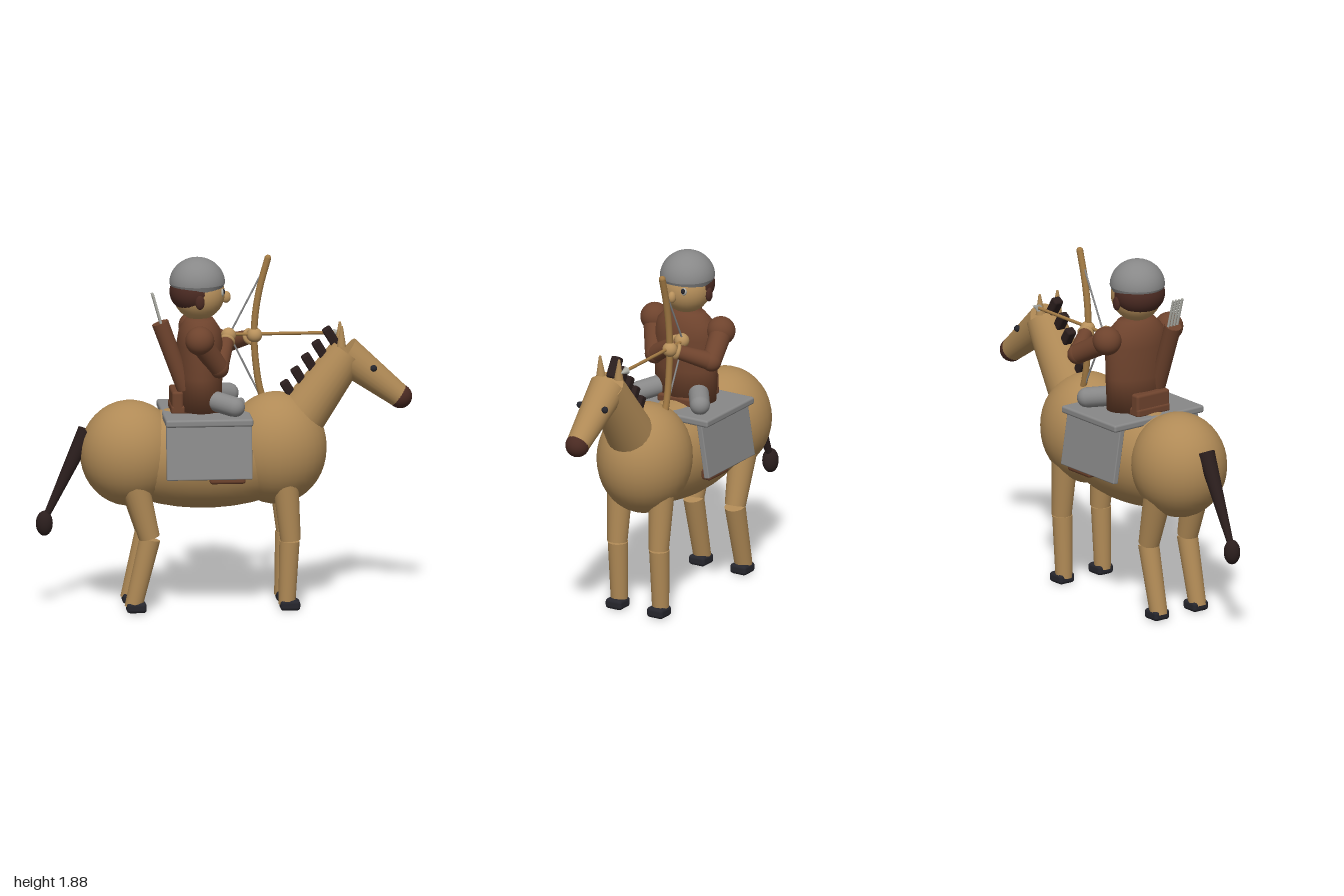
import * as THREE from 'three';
import { RoundedBoxGeometry } from 'three/addons/geometries/RoundedBoxGeometry.js';

const mat = (name, color) => {
  const m = new THREE.MeshStandardMaterial({ color });
  m.name = name;
  return m;
};

export function createModel() {
  const coat = mat('tan coat', 0xb08a56);
  const skin = mat('skin', 0xb8915c);
  const leather = mat('brown leather', 0x6e432d);
  const hairMat = mat('dark brown', 0x4a2a22);
  const mane = mat('mane', 0x2b1e1d);
  const hoofMat = mat('hoof', 0x26262d);
  const steel = mat('grey cloth', 0x888888);
  const pale = mat('pale grey', 0xb0b0a8);
  const wood = mat('wood', 0xa27a44);

  const model = new THREE.Group();
  model.name = 'mountedArcher';
  const V = (p) => new THREE.Vector3(...p);
  const UP = new THREE.Vector3(0, 1, 0);

  const add = (name, geo, m, pos = [0, 0, 0], parent = model) => {
    const mesh = new THREE.Mesh(geo, m);
    mesh.name = name;
    mesh.position.set(...pos);
    parent.add(mesh);
    return mesh;
  };
  const ball = (name, m, pos, r, parent) => {
    const mesh = add(name, new THREE.SphereGeometry(1, 32, 20), m, pos, parent);
    mesh.scale.set(...(Array.isArray(r) ? r : [r, r, r]));
    return mesh;
  };
  // Tapered rod from a (radius ra) to b (radius rb)
  const rod = (name, m, a, b, ra, rb = ra, parent = model, sides = 24) => {
    const d = V(b).sub(V(a));
    const mesh = add(name, new THREE.CylinderGeometry(rb, ra, d.length(), sides), m,
      V(a).lerp(V(b), 0.5).toArray(), parent);
    mesh.quaternion.setFromUnitVectors(UP, d.normalize());
    return mesh;
  };
  const capsule = (name, m, a, b, r, parent) => {
    const d = V(b).sub(V(a));
    const mesh = add(name, new THREE.CapsuleGeometry(r, d.length(), 8, 20), m,
      V(a).lerp(V(b), 0.5).toArray(), parent);
    mesh.quaternion.setFromUnitVectors(UP, d.normalize());
    return mesh;
  };
  const box = (name, m, size, pos, round = 0.01, parent) =>
    add(name, new RoundedBoxGeometry(...size, 2, round), m, pos, parent);
  const group = (name) => {
    const g = new THREE.Group();
    g.name = name;
    model.add(g);
    return g;
  };

  // Horse body
  const horse = group('horse');
  ball('rump', coat, [-0.5, 0.835, 0], [0.265, 0.282, 0.25], horse);
  ball('barrel', coat, [-0.1, 0.81, 0], [0.58, 0.275, 0.24], horse);
  ball('chest', coat, [0.275, 0.85, 0], [0.27, 0.3, 0.25], horse);

  // Neck, head and muzzle
  rod('neck', coat, [0.42, 1.03, 0], [0.66, 1.36, 0], 0.13, 0.1, horse);
  rod('horseHead', coat, [0.635, 1.35, 0], [0.94, 1.11, 0], 0.1, 0.062, horse);
  ball('muzzle', hairMat, [0.935, 1.115, 0], [0.064, 0.064, 0.064], horse);
  for (const s of [1, -1]) {
    ball('horseEye', hoofMat, [0.788, 1.283, s * 0.078], 0.018, horse);
    rod('horseEar', coat, [0.618, 1.4, s * 0.056], [0.62, 1.51, s * 0.06], 0.025, 0.006, horse);
  }
  for (let i = 0; i < 5; i++) {
    const tuft = box('maneTuft', mane, [0.05, 0.12, 0.056],
      [0.57 - i * 0.056, 1.44 - i * 0.071, 0], 0.012, horse);
    tuft.rotation.z = 0.55;
  }

  // Tail
  rod('tail', mane, [-0.73, 0.96, 0], [-0.945, 0.5, 0], 0.048, 0.017, horse);
  ball('tailTuft', mane, [-0.955, 0.462, 0], [0.045, 0.067, 0.043], horse);

  // Legs and hooves
  for (const s of [1, -1]) {
    const z = s * 0.13;
    rod('frontUpperLeg', coat, [0.31, 0.74, z], [0.342, 0.375, z], 0.072, 0.054, horse);
    rod('frontLowerLeg', coat, [0.336, 0.37, z], [0.322, 0.03, z], 0.054, 0.045, horse);
    box('frontHoof', hoofMat, [0.105, 0.055, 0.1], [0.338, 0.0275, z], 0.018, horse);
    rod('hindUpperLeg', coat, [-0.5, 0.74, z], [-0.408, 0.4, z], 0.08, 0.056, horse);
    rod('hindLowerLeg', coat, [-0.405, 0.395, z], [-0.494, 0.025, z], 0.056, 0.047, horse);
    box('hindHoof', hoofMat, [0.105, 0.055, 0.1], [-0.478, 0.0275, z], 0.018, horse);
  }

  // Saddle blanket with hanging side panels, and the saddle
  const tack = group('tack');
  box('blanketTop', steel, [0.465, 0.04, 0.6], [-0.102, 1.043, 0], 0.012, tack);
  for (const s of [1, -1]) {
    const panel = box('blanketPanel', steel, [0.455, 0.3, 0.032], [-0.102, 0.886, s * 0.268], 0.006, tack);
    panel.rotation.x = -s * 0.16;
    box('shoe', leather, [0.19, 0.06, 0.06], [-0.005, 0.742, s * 0.262], 0.015, tack);
  }
  box('saddleSeat', leather, [0.28, 0.05, 0.22], [-0.15, 1.08, 0], 0.015, tack);
  box('cantle', leather, [0.06, 0.12, 0.22], [-0.255, 1.12, 0], 0.015, tack);

  // Rider torso and legs
  const rider = group('rider');
  const profile = [[0, 1.07], [0.175, 1.07], [0.182, 1.25], [0.185, 1.42], [0.165, 1.5], [0.11, 1.555], [0, 1.57]]
    .map((p) => new THREE.Vector2(...p));
  const torso = add('torso', new THREE.LatheGeometry(profile, 32), leather, [-0.13, 0, 0], rider);
  torso.scale.x = 0.66;
  for (const s of [1, -1]) {
    capsule('leg', steel, [-0.08, 1.135, s * 0.11], [0.04, 1.11, s * 0.195], 0.054, rider);
    ball('shoulder', leather, [-0.147, 1.473, s * 0.208], 0.077, rider);
  }

  // Drawing arm and bow arm
  const arms = [
    [[-0.147, 1.47, 0.21], [-0.04, 1.31, 0.14], [0.03, 1.445, -0.075]],
    [[-0.147, 1.47, -0.21], [0.035, 1.365, -0.265], [0.17, 1.44, -0.09]],
  ];
  for (const [shoulder, elbow, hand] of arms) {
    const wrist = V(elbow).lerp(V(hand), 0.82).toArray();
    rod('upperArm', leather, shoulder, elbow, 0.06, 0.052, rider);
    ball('elbow', leather, elbow, 0.053, rider);
    rod('forearm', leather, elbow, wrist, 0.05, 0.038, rider);
    const cuff = add('cuff', new THREE.TorusGeometry(0.034, 0.011, 10, 24), skin, wrist, rider);
    cuff.quaternion.setFromUnitVectors(new THREE.Vector3(0, 0, 1), V(hand).sub(V(elbow)).normalize());
    ball('hand', skin, hand, 0.04, rider);
  }

  // Rider head: face, hair, cap, features
  const head = group('riderHead');
  ball('face', skin, [-0.135, 1.69, 0], [0.138, 0.142, 0.135], head);
  ball('hair', hairMat, [-0.158, 1.7, 0], [0.132, 0.115, 0.141], head);
  const cap = add('cap', new THREE.SphereGeometry(1, 36, 16, 0, Math.PI * 2, 0, Math.PI / 2), steel,
    [-0.143, 1.745, 0], head);
  cap.scale.set(0.148, 0.138, 0.146);
  const brim = add('capRim', new THREE.CylinderGeometry(0.147, 0.135, 0.028, 36), steel, [-0.143, 1.732, 0], head);
  brim.scale.z = 0.99;
  ball('nose', skin, [0.01, 1.667, 0], [0.025, 0.032, 0.022], head);
  for (const s of [1, -1]) {
    ball('riderEye', pale, [-0.018, 1.702, s * 0.056], [0.014, 0.022, 0.019], head);
    ball('pupil', hoofMat, [-0.009, 1.706, s * 0.058], [0.01, 0.015, 0.012], head);
    ball('riderEar', hairMat, [-0.14, 1.665, s * 0.138], [0.025, 0.038, 0.016], head);
  }

  // Bow, string and nocked arrow
  const bow = group('bow');
  const z = -0.087;
  const curve = new THREE.CatmullRomCurve3([
    [0.24, 1.855], [0.2, 1.71], [0.175, 1.57], [0.167, 1.44], [0.175, 1.3], [0.198, 1.15], [0.24, 1.03],
  ].map(([x, y]) => new THREE.Vector3(x, y, z)));
  add('bowLimb', new THREE.TubeGeometry(curve, 32, 0.018, 12), wood, [0, 0, 0], bow);
  for (const p of [curve.getPoint(0), curve.getPoint(1)])
    ball('bowTip', wood, p.toArray(), 0.018, bow);
  for (const end of [[0.23, 1.82, z], [0.225, 1.06, z]])
    rod('bowString', steel, [0.035, 1.445, z], end, 0.005, 0.005, bow, 8);
  rod('arrowShaft', wood, [0.02, 1.447, z], [0.6, 1.447, z], 0.009, 0.009, bow, 10);
  rod('arrowHead', pale, [0.59, 1.447, z], [0.645, 1.447, z], 0.02, 0.001, bow, 12);

  // Quiver with spare arrows on the back
  const quiver = group('quiver');
  rod('quiverTube', leather, [-0.215, 1.19, 0.08], [-0.347, 1.55, 0.08], 0.043, 0.045, quiver);
  for (let i = 0; i < 4; i++) {
    const dz = 0.05 + i * 0.02;
    rod('spareArrow', pale, [-0.33, 1.5, dz], [-0.388, 1.705, dz], 0.007, 0.007, quiver, 8);
  }

  return model;
}
